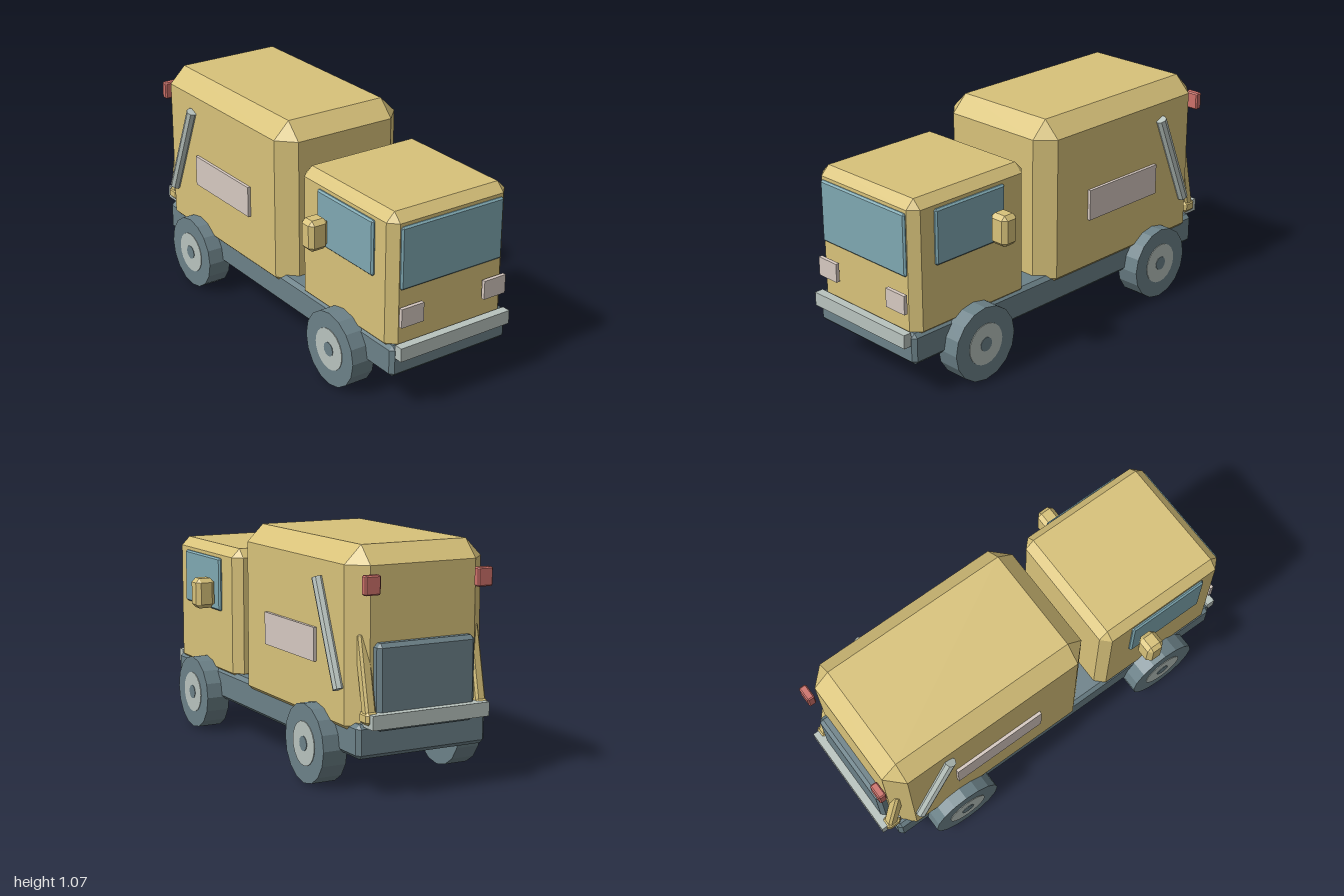
import * as THREE from 'three';
import { ConvexGeometry } from 'three/addons/geometries/ConvexGeometry.js';

const paint = (name, color) => {
  const m = new THREE.MeshStandardMaterial({ color });
  m.name = name;
  m.flatShading = true;
  return m;
};

// Box with every edge cut at 45 degrees
function chamferBox(w, h, d, c) {
  const points = [];
  for (const x of [-1, 1]) for (const y of [-1, 1]) for (const z of [-1, 1]) {
    for (const [a, b, e] of [[0, c, c], [c, 0, c], [c, c, 0]]) {
      points.push(new THREE.Vector3(x * (w / 2 - a), y * (h / 2 - b), z * (d / 2 - e)));
    }
  }
  return new ConvexGeometry(points);
}

export function createModel() {
  const truck = new THREE.Group();
  truck.name = 'truck';

  const yellow = paint('bodyYellow', 0xd8c27a);
  const slate = paint('slate', 0x6c8188);
  const glass = paint('glass', 0x7fa8b2);
  const silver = paint('silver', 0xb8c3be);
  const pale = paint('palePanel', 0xd6c9c1);
  const red = paint('lampRed', 0xcc7069);

  const add = (name, geometry, material, x, y, z, rotZ = 0) => {
    const mesh = new THREE.Mesh(geometry, material);
    mesh.name = name;
    mesh.position.set(x, y, z);
    mesh.rotation.z = rotZ;
    truck.add(mesh);
    return mesh;
  };

  // Box given by its limits; c is the chamfer
  const block = (name, material, [x0, x1], [y0, y1], [z0, z1], c = 0) => {
    const w = x1 - x0, h = y1 - y0, d = z1 - z0;
    const geometry = c ? chamferBox(w, h, d, c) : new THREE.BoxGeometry(w, h, d);
    return add(name, geometry, material, (x0 + x1) / 2, (y0 + y1) / 2, (z0 + z1) / 2);
  };

  // Chassis, cargo body and cab
  block('chassis', slate, [-0.93, 0.955], [0.17, 0.32], [-0.323, 0.323], 0.018);
  block('cargoBody', yellow, [-0.92, 0.165], [0.225, 1.07], [-0.34, 0.34], 0.08);
  block('cab', yellow, [0.258, 0.942], [0.28, 0.93], [-0.322, 0.322], 0.042);

  // Front and rear fittings
  block('windshield', glass, [0.935, 0.955], [0.58, 0.873], [-0.277, 0.277], 0.008);
  block('frontBumper', silver, [0.953, 0.995], [0.265, 0.33], [-0.303, 0.303]);
  block('rearBumper', silver, [-1, -0.895], [0.31, 0.373], [-0.29, 0.29]);
  block('tailgate', slate, [-0.963, -0.9], [0.29, 0.665], [-0.243, 0.243], 0.018);

  for (const s of [1, -1]) {
    const side = s > 0 ? 'left' : 'right';
    const span = (a, b) => (s > 0 ? [a, b] : [-b, -a]);

    // Windows, panels, lamps and mirrors
    block(side + 'Window', glass, [0.415, 0.825], [0.612, 0.872], span(0.315, 0.337), 0.008);
    block(side + 'SidePanel', pale, [-0.595, -0.122], [0.54, 0.69], span(0.33, 0.355));
    block(side + 'Headlight', pale, [0.957, 0.975], [0.415, 0.505], span(0.168, 0.288));
    block(side + 'TailLight', red, [-0.975, -0.938], [0.873, 0.957], span(0.24, 0.315), 0.006);
    block(side + 'Mirror', yellow, [0.437, 0.526], [0.627, 0.774], span(0.345, 0.443), 0.02);

    // Slanted side strut and rear lifting arm
    add(side + 'Strut', new THREE.CylinderGeometry(0.027, 0.027, 0.493, 8), silver,
      -0.718, 0.685, s * 0.35, -0.396);
    add(side + 'LiftArm', chamferBox(0.05, 0.38, 0.05, 0.01), yellow, -0.908, 0.515, s * 0.275, -0.21);
    block(side + 'ArmFoot', yellow, [-0.975, -0.9], [0.325, 0.38], span(0.245, 0.305), 0.012);

    // Wheels
    for (const [end, x] of [['Front', 0.604], ['Rear', -0.594]]) {
      const disc = (name, r, depth, sides, material) => {
        const geometry = new THREE.CylinderGeometry(r, r, depth, sides).rotateX(Math.PI / 2);
        add(side + end + name, geometry, material, x, 0.181, s * 0.343);
      };
      disc('Tyre', 0.179, 0.116, 16, slate);
      disc('Rim', 0.1, 0.122, 20, silver);
      disc('Hub', 0.034, 0.127, 12, slate);
    }
  }
  return truck;
}
